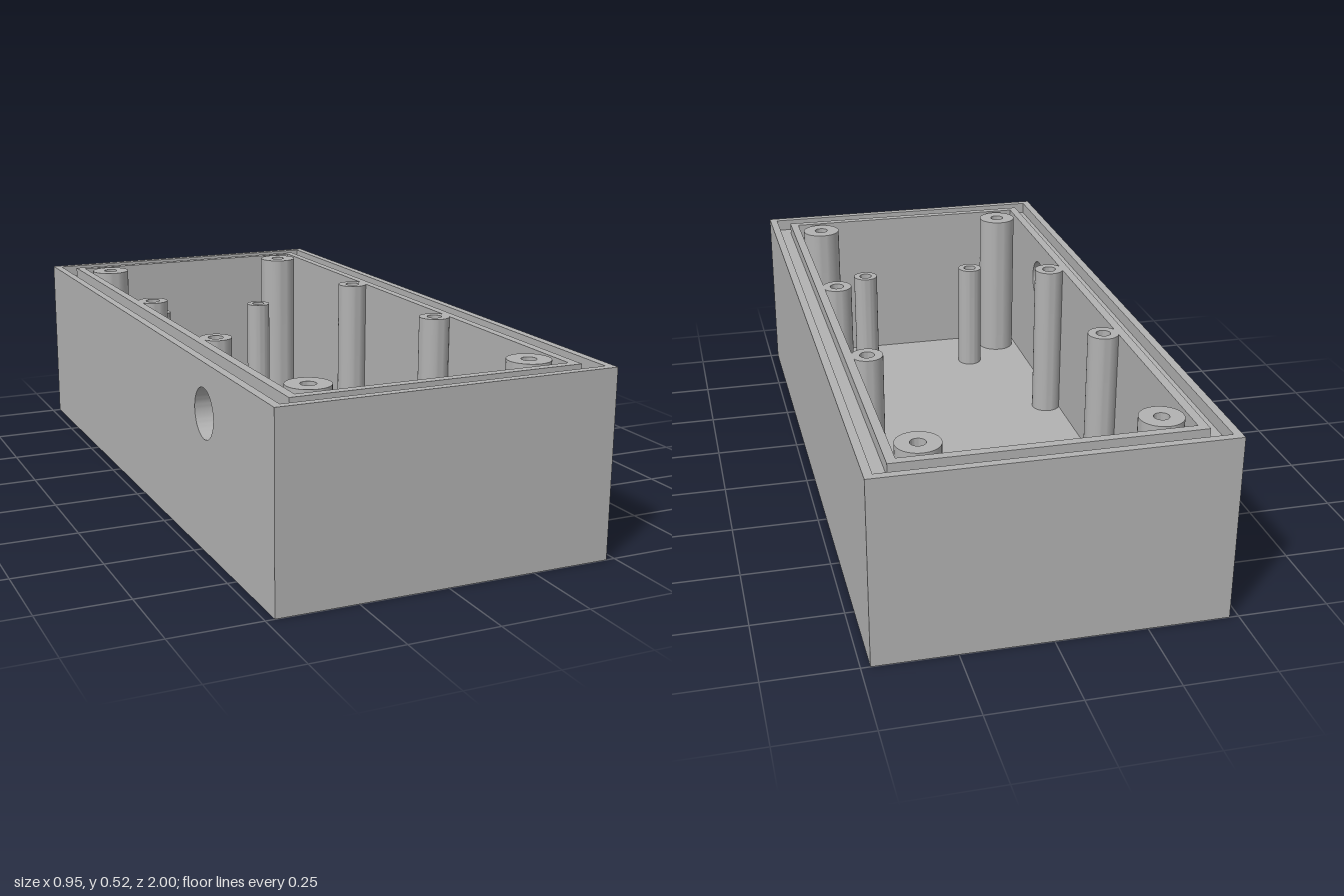
import * as THREE from 'three';
import { toCreasedNormals } from 'three/addons/utils/BufferGeometryUtils.js';

const HX = 0.475, HZ = 1, HEIGHT = 0.525; // outer half sizes and height
const WALL = 0.09, FLOOR = 0.04;          // thicknesses
const GROOVE_Y = 0.49;                    // bottom of the seal groove
const POST_Z = -0.003;                    // slight offset of the post pattern

export function createModel() {
  const model = new THREE.Group();
  model.name = 'enclosureBase';
  const plastic = new THREE.MeshStandardMaterial({ color: 0xb2b2b2 });
  plastic.name = 'grey plastic';

  const add = (name, geometry, x = 0, y = 0, z = 0) => {
    const mesh = new THREE.Mesh(geometry, plastic);
    mesh.name = name;
    mesh.position.set(x, y, z);
    model.add(mesh);
    return mesh;
  };
  const rect = (C, hx, hy) => new C([[-hx, -hy], [hx, -hy], [hx, hy], [-hx, hy]].map((p) => new THREE.Vector2(...p)));
  const circle = (x, y, r) => new THREE.Path().absarc(x, y, r, 0, Math.PI * 2, true);
  const extrude = (shape, depth) => toCreasedNormals(
    new THREE.ExtrudeGeometry(shape, { depth, bevelEnabled: false, curveSegments: 32 }), 0.6);
  const mirrored = (x, z, place) => {
    for (const sx of [-1, 1]) for (const sz of [-1, 1]) place(sx * x, sz * z + POST_Z);
  };

  // Floor: an underside plate with screw recesses, closed by a solid plate
  const underside = rect(THREE.Shape, HX, HZ);
  mirrored(0.315, 0.837, (x, z) => underside.holes.push(circle(x, -z, 0.02)));
  add('undersidePlate', extrude(underside, FLOOR / 2).rotateX(-Math.PI / 2));
  add('floor', new THREE.BoxGeometry(HX * 2, FLOOR / 2, HZ * 2), 0, FLOOR * 0.75, 0);

  // Walls up to the groove; the right wall has a round cable hole
  const wallH = GROOVE_Y - FLOOR, midY = (GROOVE_Y + FLOOR) / 2;
  const innerZ = HZ - WALL;
  for (const s of [-1, 1]) {
    add(s > 0 ? 'frontWall' : 'backWall', new THREE.BoxGeometry(HX * 2, wallH, WALL), 0, midY, s * (HZ - WALL / 2));
  }
  add('leftWall', new THREE.BoxGeometry(WALL, wallH, innerZ * 2), HX - WALL / 2, midY, 0);
  const holedWall = rect(THREE.Shape, innerZ, wallH / 2);
  holedWall.holes.push(circle(0.527, 0.386 - midY, 0.07));
  add('rightWall', extrude(holedWall, WALL).rotateY(-Math.PI / 2), -HX + WALL, midY, 0);

  // Two concentric rims with the seal groove between them
  const rim = (name, outer, inner) => {
    const shape = rect(THREE.Shape, HX - outer, HZ - outer);
    shape.holes.push(rect(THREE.Path, HX - inner, HZ - inner));
    add(name, extrude(shape, HEIGHT - GROOVE_Y).rotateX(-Math.PI / 2), 0, GROOVE_Y, 0);
  };
  rim('outerRim', 0, 0.023);
  rim('innerRim', 0.065, WALL);

  // Hollow screw posts
  const posts = (name, x, z, radius, bore, top) => {
    const profile = [[radius, FLOOR], [radius, top], [bore, top], [bore, FLOOR + 0.005], [0, FLOOR + 0.005]];
    const geometry = toCreasedNormals(
      new THREE.LatheGeometry(profile.map((p) => new THREE.Vector2(...p)), 40), 0.6);
    mirrored(x, z, (px, pz) => add(name, geometry, px, 0, pz));
  };
  posts('cornerPost', 0.315, 0.837, 0.06, 0.021, HEIGHT);
  posts('sidePost', 0.345, 0.278, 0.045, 0.021, HEIGHT);
  posts('boardPost', 0.185, 0.708, 0.039, 0.02, 0.392);

  return model;
}
